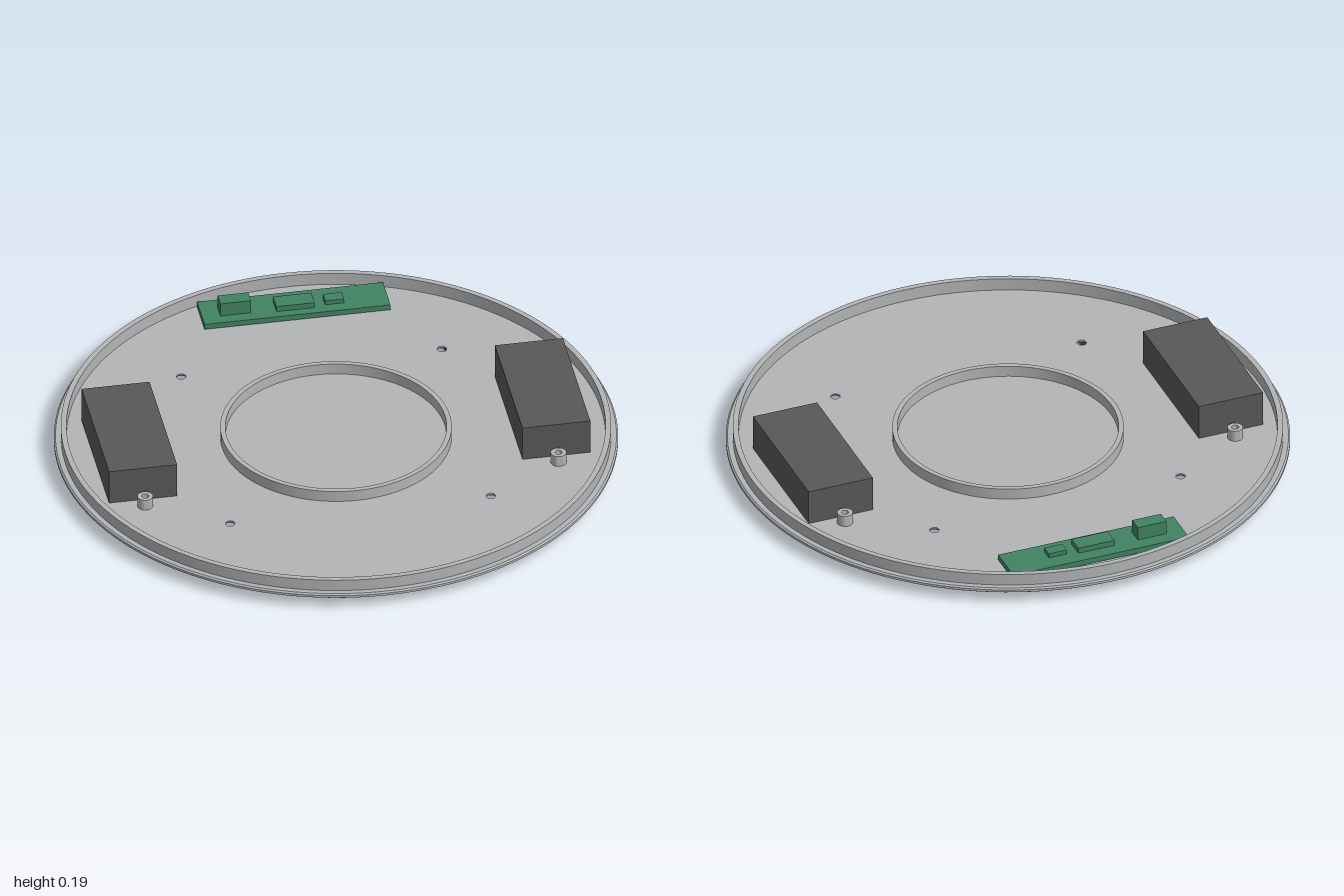
import * as THREE from 'three';
import { toCreasedNormals } from 'three/addons/utils/BufferGeometryUtils.js';

const mat = (name, color) => new THREE.MeshStandardMaterial({ name, color });

export function createModel() {
  const grey = mat('plateGrey', 0xb2b4b6);
  const dark = mat('darkPlastic', 0x585858);
  const green = mat('boardGreen', 0x418262);
  const blue = mat('rollerBlue', 0x5482b0);

  const root = new THREE.Group();
  root.name = 'roundBase';

  const add = (name, geometry, material, x = 0, y = 0, z = 0, parent = root) => {
    const mesh = new THREE.Mesh(geometry, material);
    mesh.name = name;
    mesh.position.set(x, y, z);
    parent.add(mesh);
    return mesh;
  };
  // profile runs up the outside and down the inside
  const lathe = (pts, segments) => toCreasedNormals(
    new THREE.LatheGeometry(pts.map(([r, y]) => new THREE.Vector2(r, y)), segments), 0.6);
  // box given by its limits
  const block = (name, material, [x0, x1], [y0, y1], [z0, z1], parent) =>
    add(name, new THREE.BoxGeometry(x1 - x0, y1 - y0, z1 - z0), material,
      (x0 + x1) / 2, (y0 + y1) / 2, (z0 + z1) / 2, parent);
  const rectPath = (path, cx, w, d) => {
    path.moveTo(cx - w / 2, -d / 2);
    path.lineTo(cx + w / 2, -d / 2);
    path.lineTo(cx + w / 2, d / 2);
    path.lineTo(cx - w / 2, d / 2);
    path.closePath();
    return path;
  };
  // extrude a plan shape upwards
  const slab = (shape, height, curveSegments = 24) => {
    const g = new THREE.ExtrudeGeometry(shape, { depth: height, bevelEnabled: false, curveSegments });
    g.rotateX(-Math.PI / 2);
    return toCreasedNormals(g, 0.6);
  };

  const corners = [[1, 1], [1, -1], [-1, 1], [-1, -1]];
  const floorY = 0.058, slotX = 0.74, slotW = 0.18, slotD = 0.44;

  // floor in two layers, so the screw holes are wider underneath
  const floorLayer = (name, y0, y1, screwRadius) => {
    const shape = new THREE.Shape().absarc(0, 0, 0.965, 0, Math.PI * 2);
    const hole = (x, z, r) => shape.holes.push(new THREE.Path().absarc(x, z, r, 0, Math.PI * 2, true));
    for (const [sx, sz] of corners) {
      hole(sx * 0.47, sz * 0.47, screwRadius);
      hole(sx * 0.745, sz * 0.305, 0.013);
    }
    for (const s of [-1, 1]) shape.holes.push(rectPath(new THREE.Path(), s * slotX, slotW, slotD));
    add(name, slab(shape, y1 - y0, 48), grey, 0, y0, 0);
  };
  floorLayer('floorUnderside', 0.04, 0.052, 0.03);
  floorLayer('floorTop', 0.052, floorY, 0.017);

  // outer edge with chamfer, flange and upright rim
  add('outerRim', lathe([[0.96, 0.04], [0.99, 0.04], [1, 0.047], [1, 0.056], [0.994, 0.061],
    [0.975, 0.061], [0.975, 0.105], [0.955, 0.105], [0.955, 0.05]], 128), grey);
  add('innerRing', lathe([[0.41, floorY], [0.41, 0.1], [0.392, 0.1], [0.392, floorY]], 96), grey);

  // screw bosses and feet
  for (const [sx, sz] of corners) {
    add('screwBoss', lathe([[0.028, floorY], [0.028, 0.1], [0.013, 0.1], [0.013, floorY]], 24),
      grey, sx * 0.745, 0, sz * 0.305);
    add('foot', lathe([[0, 0], [0.05, 0], [0.06, 0.004], [0.066, 0.013], [0.067, 0.04]], 32),
      dark, sx * 0.55, 0, sz * 0.55);
  }

  // hollow housings, each with a roller showing through its slot
  for (const s of [-1, 1]) {
    const housing = new THREE.Group();
    housing.name = s > 0 ? 'leftHousing' : 'rightHousing';
    root.add(housing);
    const walls = rectPath(new THREE.Shape(), s * 0.745, 0.245, 0.53);
    walls.holes.push(rectPath(new THREE.Path(), s * slotX, slotW, slotD));
    add('housingWalls', slab(walls, 0.182 - floorY), dark, 0, floorY, 0, housing);
    add('housingLid', new THREE.BoxGeometry(0.245, 0.01, 0.53), dark, s * 0.745, 0.187, 0, housing);
    const roller = new THREE.CylinderGeometry(0.066, 0.066, 0.42, 32);
    add('roller', roller.rotateX(Math.PI / 2), blue, s * slotX, 0.112, 0, housing);
  }

  // circuit board and its components
  const board = new THREE.Group();
  board.name = 'circuitBoard';
  root.add(board);
  block('boardPlate', green, [-0.335, 0.335], [0.062, 0.083], [-0.885, -0.74], board);
  block('connector', green, [-0.27, -0.16], [0.083, 0.135], [-0.835, -0.782], board);
  block('largeChip', green, [-0.07, 0.068], [0.083, 0.104], [-0.837, -0.773], board);
  block('smallChip', green, [0.108, 0.176], [0.083, 0.1], [-0.826, -0.783], board);

  return root;
}
